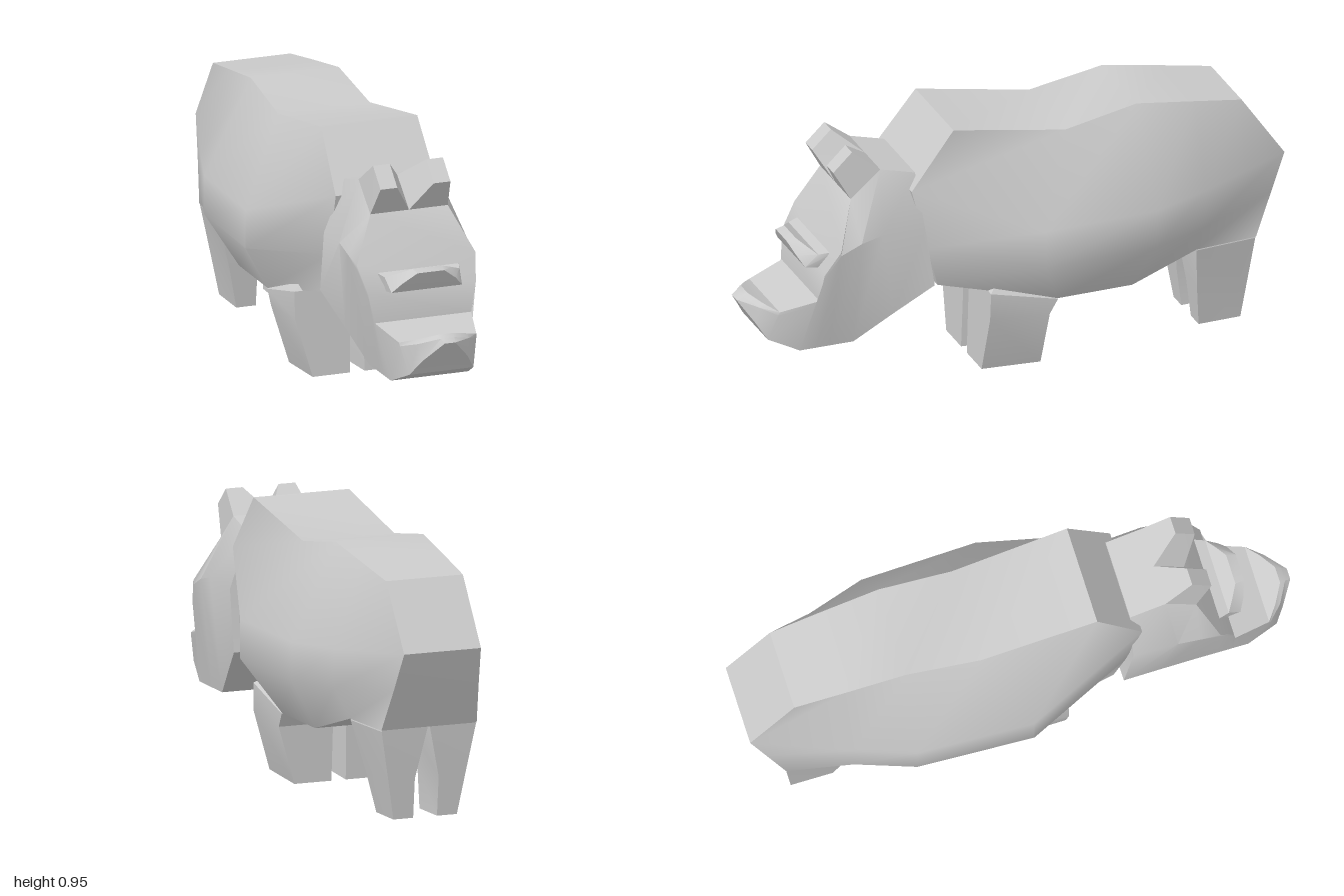
import * as THREE from 'three';
import { toCreasedNormals } from 'three/addons/utils/BufferGeometryUtils.js';

const material = new THREE.MeshStandardMaterial({ color: 0xcccccc });

// Skins a row of loops (each clockwise seen from ahead) and caps both ends.
function loft(name, loops, crease) {
  const pos = [];
  const quad = (a, b, c, d) => pos.push(...a, ...b, ...c, ...a, ...c, ...d);
  const n = loops[0].length;
  for (let i = 0; i < loops.length - 1; i++) {
    const p = loops[i], q = loops[i + 1];
    for (let j = 0; j < n; j++) {
      const k = (j + 1) % n;
      quad(p[j], q[j], q[k], p[k]);
    }
  }
  const first = loops[0], last = loops[loops.length - 1];
  for (let j = 0; j < n / 2 - 1; j++) {
    quad(first[j], first[j + 1], first[n - 2 - j], first[n - 1 - j]);
    quad(last[n - 1 - j], last[n - 2 - j], last[j + 1], last[j]);
  }
  const geometry = new THREE.BufferGeometry();
  geometry.setAttribute('position', new THREE.Float32BufferAttribute(pos, 3));
  const mesh = new THREE.Mesh(toCreasedNormals(geometry, crease), material);
  mesh.name = name;
  return mesh;
}

const mirror = (loop) => loop.map(([x, y, z]) => [-x, y, z]).reverse();

// Half sections on +x, top to bottom, completed by their mirror image.
const symmetric = (name, halves, crease) =>
  loft(name, halves.map((h) => [...h, ...mirror(h)]), crease);

// The same part on the left and the right.
const pair = (name, loops) => [
  loft(name + 'Left', loops, 0.35),
  loft(name + 'Right', loops.map(mirror), 0.35),
];

export function createModel() {
  const model = new THREE.Group();
  model.name = 'rhinoceros';

  // Trunk, rump to shoulders
  model.add(symmetric('body', [
    [[0.145, 0.865, -0.84], [0.145, 0.635, -1.0], [0.16, 0.5, -0.945], [0.18, 0.345, -0.88]],
    [[0.155, 0.895, -0.66], [0.265, 0.6, -0.66], [0.265, 0.46, -0.66], [0.2, 0.345, -0.65]],
    [[0.165, 0.93, -0.44], [0.335, 0.59, -0.45], [0.335, 0.45, -0.45], [0.225, 0.265, -0.4]],
    [[0.172, 0.88, -0.17], [0.35, 0.59, -0.03], [0.35, 0.45, -0.03], [0.23, 0.265, -0.12]],
    [[0.18, 0.955, 0.25], [0.19, 0.75, 0.41], [0.19, 0.52, 0.35], [0.18, 0.37, 0.31]],
  ], 0.75));

  // Head, nape to the tip of the front horn
  model.add(symmetric('head', [
    [[0.145, 0.8, 0.38], [0.218, 0.61, 0.37], [0.218, 0.39, 0.335]],
    [[0.145, 0.835, 0.51], [0.225, 0.62, 0.53], [0.181, 0.29, 0.475]],
    [[0.145, 0.74, 0.62], [0.225, 0.6, 0.61], [0.145, 0.19, 0.61]],
    [[0.222, 0.58, 0.685], [0.221, 0.565, 0.685], [0.145, 0.19, 0.7]],
    [[0.202, 0.49, 0.74], [0.2, 0.475, 0.74], [0.145, 0.19, 0.75]],
    [[0.18, 0.385, 0.75], [0.177, 0.37, 0.755], [0.145, 0.19, 0.81]],
    [[0.145, 0.35, 0.885], [0.143, 0.338, 0.89], [0.12, 0.24, 0.92]],
    [[0.095, 0.367, 0.923], [0.095, 0.355, 0.94], [0.085, 0.295, 0.953]],
    [[0.03, 0.387, 0.96], [0.025, 0.378, 0.98], [0.02, 0.365, 1.0]],
  ], 0.6));

  // Small second horn, a wide ridge that tips upward
  model.add(symmetric('smallHorn', [
    [[0.16, 0.555, 0.68], [0.135, 0.49, 0.72]],
    [[0.14, 0.545, 0.74], [0.132, 0.5, 0.785]],
    [[0.1, 0.562, 0.765], [0.1, 0.535, 0.805]],
    [[0.055, 0.58, 0.79], [0.05, 0.573, 0.823]],
  ], 0.6));

  // Ears, leaning forward from the crown
  model.add(...pair('ear', [
    [[0, 0.835, 0.51], [0.145, 0.835, 0.51], [0.145, 0.74, 0.62], [0, 0.74, 0.62]],
    [[0.068, 0.912, 0.61], [0.131, 0.912, 0.61], [0.131, 0.845, 0.68], [0.068, 0.845, 0.68]],
  ]));

  // Front legs
  model.add(...pair('frontLeg', [
    [[0.18, 0.36, 0.08], [0.18, 0.33, -0.1], [0.025, 0.33, -0.1], [0.025, 0.36, 0.08]],
    [[0.232, 0.325, 0.13], [0.232, 0.263, -0.12], [0.025, 0.263, -0.12], [0.025, 0.325, 0.13]],
    [[0.23, 0.225, 0.133], [0.23, 0.21, -0.09], [0.025, 0.21, -0.09], [0.025, 0.225, 0.133]],
    [[0.167, 0.01, 0.14], [0.167, 0, -0.08], [0.027, 0, -0.08], [0.027, 0.01, 0.14]],
  ]));

  // Hind legs
  model.add(...pair('hindLeg', [
    [[0.19, 0.37, -0.65], [0.17, 0.37, -0.88], [0.005, 0.37, -0.88], [0.005, 0.37, -0.65]],
    [[0.198, 0.34, -0.65], [0.178, 0.34, -0.878], [0.005, 0.34, -0.878], [0.005, 0.34, -0.65]],
    [[0.15, 0.16, -0.672], [0.145, 0.16, -0.86], [0.045, 0.16, -0.86], [0.045, 0.16, -0.672]],
    [[0.118, 0.014, -0.69], [0.12, 0.018, -0.845], [0.045, 0.018, -0.845], [0.045, 0.014, -0.69]],
  ]));

  return model;
}
